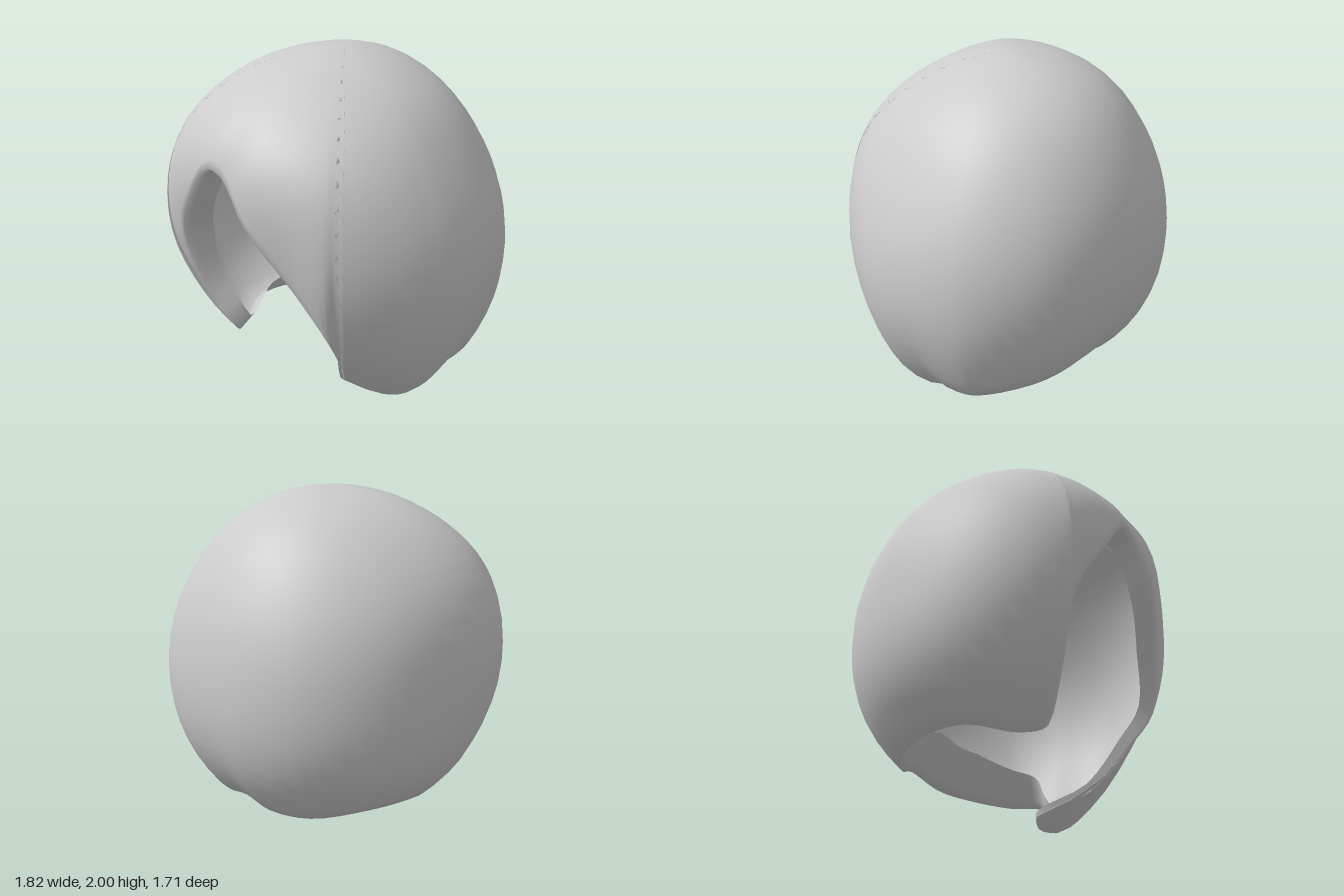
import * as THREE from 'three';

const CENTER = new THREE.Vector3(0, 1.05, 0);

// Shell radius: rows run from crown to underside every 30 degrees,
// columns every 45 degrees from the front round to the model's left
const RADII = [
  [0.95, 0.95, 0.95, 0.95, 0.95, 0.95, 0.95, 0.95],
  [0.94, 0.90, 0.89, 0.91, 0.94, 0.95, 0.96, 0.98],
  [0.96, 0.91, 0.84, 0.87, 0.875, 0.90, 0.945, 1.02],
  [0.82, 0.88, 0.89, 0.88, 0.855, 0.90, 0.92, 0.98],
  [0.80, 0.88, 0.98, 0.92, 0.90, 0.95, 0.98, 0.92],
  [0.90, 0.95, 1.08, 0.98, 0.95, 0.98, 0.98, 0.92],
  [1.05, 1.05, 1.05, 1.05, 1.05, 1.05, 1.05, 1.05],
];

// Lower edge of the hair: x, y, z and how far the rim folds toward the centre
const HEM = [
  // top of the face opening, then down its left edge
  [-0.20, 1.47, 0.83, 0.85], [-0.08, 1.45, 0.83, 0.85], [0.10, 1.22, 0.84, 0.85],
  [0.33, 0.92, 0.74, 0.87], [0.47, 0.65, 0.64, 0.90],
  // long pointed lock
  [0.42, 0.45, 0.50, 0.92], [0.30, 0.20, 0.32, 0.95], [0.10, 0.04, 0.10, 0.97],
  [0.18, 0.00, 0.06, 0.95], [0.42, 0.04, 0.05, 0.90], [0.52, 0.15, -0.07, 0.85],
  // nape
  [0.65, 0.27, -0.20, 0.80], [0.62, 0.30, -0.40, 0.75], [0.35, 0.31, -0.55, 0.70],
  [0.12, 0.31, -0.58, 0.70], [-0.10, 0.36, -0.60, 0.70], [-0.25, 0.31, -0.55, 0.70],
  [-0.45, 0.30, -0.42, 0.75],
  // short right side and right edge of the face opening
  [-0.60, 0.33, -0.15, 0.80], [-0.62, 0.33, 0.12, 0.82], [-0.50, 0.28, 0.35, 0.85],
  [-0.42, 0.32, 0.47, 0.88], [-0.53, 0.62, 0.60, 0.86], [-0.54, 0.98, 0.72, 0.82],
  [-0.38, 1.25, 0.80, 0.84],
];

function cubic(a, b, c, d, t) {
  return b + 0.5 * t * (c - a + t * (2 * a - 5 * b + 4 * c - d + t * (3 * (b - c) + d - a)));
}

// Smoothly interpolated shell radius for an azimuth and an angle from the crown
function shellRadius(azimuth, polar) {
  const u = ((azimuth / (Math.PI / 4)) % 8 + 8) % 8;
  const v = Math.min(polar / (Math.PI / 6), 5.999);
  const i = Math.floor(u), j = Math.floor(v);
  const row = (k) => {
    const r = RADII[Math.max(0, Math.min(6, k))];
    return cubic(r[(i + 7) % 8], r[i % 8], r[(i + 1) % 8], r[(i + 2) % 8], u - i);
  };
  return cubic(row(j - 1), row(j), row(j + 1), row(j + 2), v - j);
}

function hairGeometry(columns = 100, shellRows = 22, rimRows = 4) {
  const hem = new THREE.CatmullRomCurve3(HEM.map(([x, y, z]) => new THREE.Vector3(x, y, z)), true);
  const positions = [CENTER.x, CENTER.y + 0.95, CENTER.z];
  const index = [];
  const rows = shellRows + rimRows;

  for (let c = 0; c < columns; c++) {
    const f = (c / columns) * HEM.length;
    const k = Math.floor(f);
    const fold = THREE.MathUtils.lerp(HEM[k][3], HEM[(k + 1) % HEM.length][3], f - k);
    const edge = hem.getPoint(c / columns).sub(CENTER);
    const azimuth = Math.atan2(edge.x, edge.z);
    const edgePolar = Math.acos(edge.y / edge.length());
    const fit = edge.length() / shellRadius(azimuth, edgePolar) - 1;

    // outer shell from crown to hem
    for (let r = 1; r <= shellRows; r++) {
      const t = r / shellRows;
      const polar = edgePolar * t;
      const radius = shellRadius(azimuth, polar) * (1 + fit * t ** 4);
      const p = new THREE.Vector3().setFromSphericalCoords(radius, polar, azimuth).add(CENTER);
      positions.push(p.x, p.y, p.z);
    }
    // rim folded inward
    for (let r = 1; r <= rimRows; r++) {
      const p = edge.clone().multiplyScalar(1 + (fold - 1) * (r / rimRows)).add(CENTER);
      positions.push(p.x, p.y, p.z);
    }
  }

  const id = (c, r) => 1 + (c % columns) * rows + r;
  for (let c = 0; c < columns; c++) {
    index.push(0, id(c, 0), id(c + 1, 0));
    for (let r = 0; r < rows - 1; r++) {
      index.push(id(c, r), id(c, r + 1), id(c + 1, r + 1));
      index.push(id(c, r), id(c + 1, r + 1), id(c + 1, r));
    }
  }

  const geometry = new THREE.BufferGeometry();
  geometry.setAttribute('position', new THREE.Float32BufferAttribute(positions, 3));
  geometry.setIndex(index);
  geometry.computeVertexNormals();
  return geometry;
}

export function createModel() {
  const group = new THREE.Group();
  group.name = 'hairpiece';
  const material = new THREE.MeshStandardMaterial({ color: 0xcccccc, side: THREE.DoubleSide });
  const hair = new THREE.Mesh(hairGeometry(), material);
  hair.name = 'hairShell';
  group.add(hair);
  return group;
}
